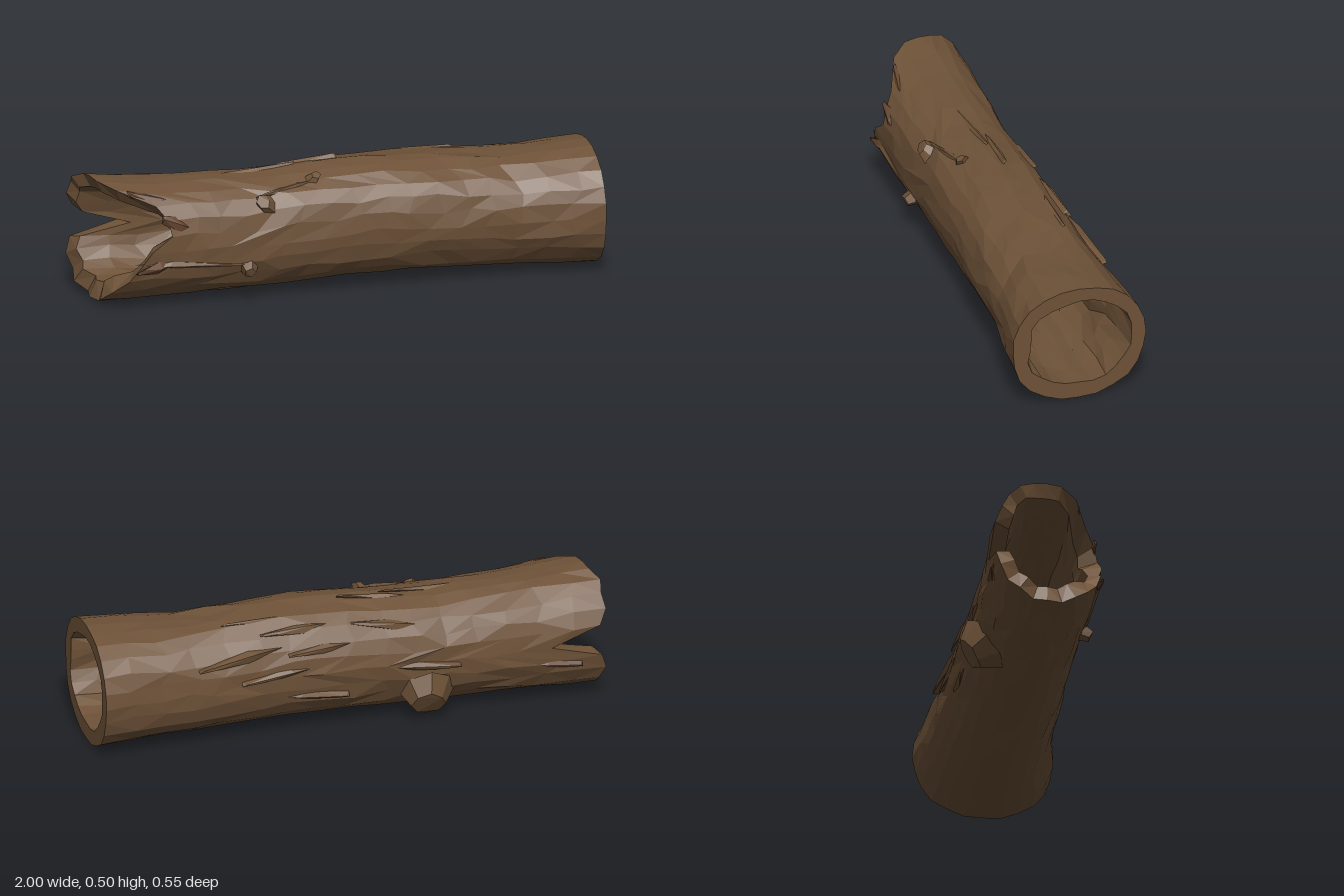
import * as THREE from 'three';
import { ConvexGeometry } from 'three/addons/geometries/ConvexGeometry.js';

const SIDES = 24, STEPS = 16, WALL = 0.062, DEG = Math.PI / 180;

// Trunk sections along x: x, bottom, top, back z, front z
const SECTIONS = [
  [-1.0, 0.02, 0.50, -0.245, 0.15],
  [-0.93, 0.01, 0.51, -0.25, 0.185],
  [-0.78, 0.02, 0.48, -0.24, 0.205],
  [-0.35, 0.022, 0.465, -0.225, 0.20],
  [0.0, 0.03, 0.488, -0.225, 0.21],
  [0.3, 0.03, 0.486, -0.222, 0.225],
  [0.65, 0.02, 0.46, -0.232, 0.235],
  [1.0, 0.002, 0.48, -0.255, 0.288],
];

// Where the broken end starts, every 15 degrees from the front side over the top
const BROKEN = [
  -0.78, -0.70, -0.71, -0.75, -0.89, -0.95, -0.96, -0.97, -1.0, -0.99, -1.0, -0.97,
  -0.78, -0.98, -1.0, -0.98, -0.99, -0.95, -0.96, -0.94, -0.95, -0.92, -0.86, -0.82,
];

// Repeatable noise in -1..1
function noise(a, b) {
  const s = Math.sin(a * 127.1 + b * 311.7) * 43758.5453;
  return 2 * (s - Math.floor(s)) - 1;
}

function section(x) {
  let k = 0;
  while (k < SECTIONS.length - 2 && x > SECTIONS[k + 1][0]) k++;
  const a = SECTIONS[k], b = SECTIONS[k + 1];
  const t = THREE.MathUtils.clamp((x - a[0]) / (b[0] - a[0]), 0, 1);
  return a.map((v, i) => THREE.MathUtils.lerp(v, b[i], t));
}

// Point on the bark at x and angle (0 = front, 90 degrees = top), raised by lift
function onBark(x, angle, lift = 0) {
  const [, y0, y1, z0, z1] = section(x);
  const c = Math.cos(angle), s = Math.sin(angle);
  const square = (Math.abs(c) ** 2.25 + Math.abs(s) ** 2.25) ** (-1 / 2.25);
  return new THREE.Vector3(
    x,
    (y0 + y1) / 2 + s * ((y1 - y0) / 2 * square + lift),
    (z0 + z1) / 2 + c * ((z1 - z0) / 2 * square + lift),
  );
}

// Hollow trunk: each lengthwise loop runs along the bark and back along the inside
function trunkGeometry() {
  const loop = 2 * (STEPS + 1), pos = [], index = [];
  for (let j = 0; j < SIDES; j++) {
    for (let i = 0; i < loop; i++) {
      const inside = i > STEPS;
      const k = inside ? loop - 1 - i : i;
      const t = k / STEPS;
      const mid = k > 0 && k < STEPS;
      const start = BROKEN[j] + (inside ? 0.025 : 0);
      let x = THREE.MathUtils.lerp(start, 1, t);
      if (mid) x += 0.025 * noise(j, k + 40);
      const row = inside ? Math.floor(j / 2) : j;
      const lift = noise(row, Math.floor(k / 2)) * (inside ? 0.014 : 0.004)
        + (mid ? noise(j, k + 9) * 0.004 : 0) - 0.002;
      const angle = (j * 360 / SIDES + (mid ? 3 * noise(k, j + 5) : 0)) * DEG;
      const p = onBark(x, angle, inside ? lift - WALL : lift);
      pos.push(p.x, p.y, p.z);
    }
  }
  for (let j = 0; j < SIDES; j++) {
    for (let i = 0; i < loop; i++) {
      const n = (i + 1) % loop, m = (j + 1) % SIDES;
      const a = j * loop + i, b = j * loop + n, c = m * loop + n, d = m * loop + i;
      if (noise(i, j) > 0) index.push(a, b, c, a, c, d);
      else index.push(a, b, d, b, c, d);
    }
  }
  const g = new THREE.BufferGeometry();
  g.setAttribute('position', new THREE.Float32BufferAttribute(pos, 3));
  g.setIndex(index);
  g.computeVertexNormals();
  return g;
}

// Broken branch: a tapered, uneven stump growing out of the bark
function stumpGeometry(x, degrees, radius, height, lean, sides, seed) {
  const pts = [], a = degrees * DEG;
  const base = onBark(x, a, -0.02), out = onBark(x, a, height);
  const axis = out.clone().sub(base).normalize();
  const along = new THREE.Vector3(1, 0, 0), across = axis.clone().cross(along);
  for (let i = 0; i < sides; i++) {
    const t = i / sides * Math.PI * 2;
    for (const [centre, r, drop, shift] of [[base, radius, 0, 0], [out, radius * 0.6, 0.25, lean]]) {
      const rr = r * (1 + 0.15 * noise(i, seed));
      pts.push(centre.clone()
        .addScaledVector(along, Math.cos(t) * rr + shift)
        .addScaledVector(across, Math.sin(t) * rr)
        .addScaledVector(axis, -drop * height * Math.abs(noise(i, seed + 3))));
    }
  }
  return new ConvexGeometry(pts);
}

// Loose bark: a long sliver with one lifted end
function sliverGeometry(x0, x1, degrees, spread, lift, twist) {
  const at = (t, d, l) => onBark(THREE.MathUtils.lerp(x0, x1, t), (degrees + d + twist * t) * DEG, l);
  return new ConvexGeometry([
    at(0, 0, -0.008), at(0.35, spread, -0.008), at(0.4, -spread, -0.008), at(1, -spread * 0.4, -0.008),
    at(0.3, 0, lift * 0.5), at(0.8, spread * 0.5, lift * 0.7), at(0.95, 0, lift), at(1, spread * 0.3, lift * 0.8),
  ]);
}

export function createModel() {
  const group = new THREE.Group();
  const bark = new THREE.MeshStandardMaterial({ color: 0x6e5238, flatShading: true });
  const brokenWood = new THREE.MeshStandardMaterial({ color: 0x66452f, flatShading: true });
  const add = (name, geometry, material = bark) => {
    const mesh = new THREE.Mesh(geometry, material);
    mesh.name = name;
    group.add(mesh);
  };

  add('hollowTrunk', trunkGeometry());

  // Branch stumps: x, angle, radius, height, lean, sides
  [
    [-0.3, 216, 0.105, 0.06, 0.01, 8],
    [-0.3, 40, 0.045, 0.022, -0.03, 6],
    [-0.39, -24, 0.04, 0.035, -0.005, 5],
    [-0.12, 62, 0.035, 0.012, 0.02, 5],
  ].forEach((s, i) => add('branchStump', stumpGeometry(...s, i + 1)));

  // Bark slivers: x0, x1, angle, half spread, lift, twist
  [
    [-0.55, -0.15, 88, 5, 0.008, 6],
    [-0.28, 0.02, 102, 5, 0.012, -4],
    [0.05, 0.36, 130, 6, 0.014, 4],
    [0.2, 0.5, 118, 4, 0.012, -3],
    [0.28, 0.62, 148, 6, 0.022, 8],
    [0.0, 0.26, 152, 5, 0.012, 5],
    [-0.3, 0.0, 140, 6, 0.012, -6],
    [0.15, 0.45, 172, 5, 0.012, 5],
    [-0.1, -0.42, 180, 5, 0.012, 4],
    [0.3, 0.02, 200, 5, 0.014, 5],
    [-0.1, -0.35, 60, 4, 0.008, -14],
    [-0.85, -0.4, -12, 4, 0.007, -8],
  ].forEach((s) => add('barkSliver', sliverGeometry(...s)));

  // Splintered wood beside the notches of the broken end
  [
    [-0.62, -0.735, 22, 9, 0.012, 10],
    [-0.7, -0.84, -14, 7, 0.012, -6],
    [-0.66, -0.85, 50, 6, 0.01, 8],
    [-0.7, -0.9, 196, 5, 0.01, 4],
  ].forEach((s) => add('splinter', sliverGeometry(...s), brokenWood));

  return group;
}
